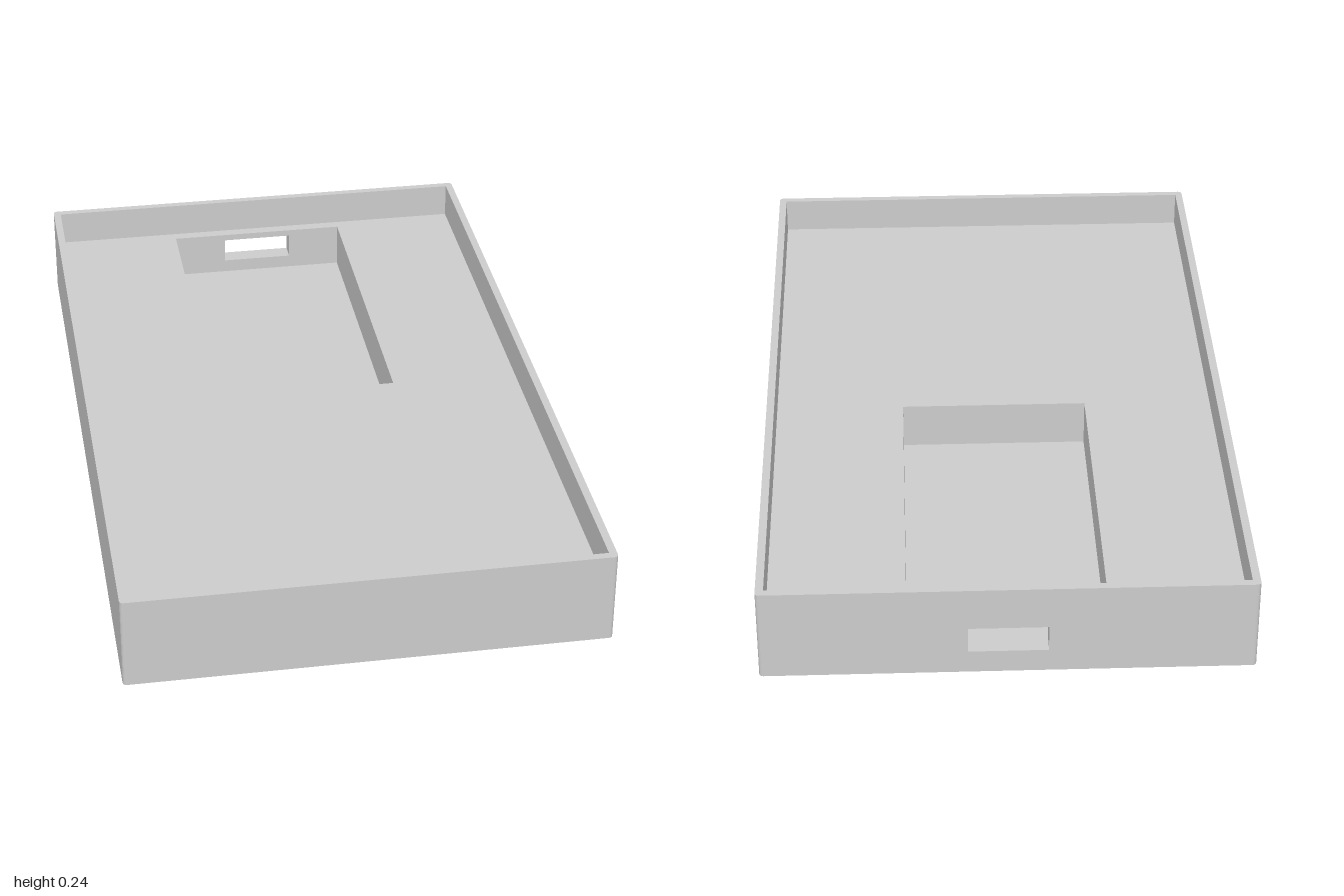
import * as THREE from 'three';
import { mergeGeometries } from 'three/addons/utils/BufferGeometryUtils.js';

const W = 0.606, L = 1, H = 0.243;          // outer half width, half length, height
const RIM = 0.02, FLOOR = 0.148, BASE = 0.024; // rim thickness, tray floor, pocket floor
const SLOT = { x: 0.098, y0: 0.061, y1: 0.13 };

// Plan points are (x, -z), counter-clockwise seen from above
const P = (x, y) => new THREE.Vector2(x, y);
const rect = (x0, x1, y0, y1) => [P(x0, y0), P(x1, y0), P(x1, y1), P(x0, y1)];

function roundedRect(w, l, r, steps = 4) {
  const pts = [];
  [[-1, -1], [1, -1], [1, 1], [-1, 1]].forEach(([sx, sy], i) => {
    for (let k = 0; k <= steps; k++) {
      const a = Math.PI + (i + k / steps) * Math.PI / 2;
      pts.push(P(sx * (w - r) + r * Math.cos(a), sy * (l - r) + r * Math.sin(a)));
    }
  });
  return pts;
}

function sheet(loop, hole) {
  const shape = new THREE.Shape(loop);
  if (hole) shape.holes.push(new THREE.Path(hole));
  return new THREE.ShapeGeometry(shape);
}

// Horizontal faces
const faceUp = (loop, y, hole) => sheet(loop, hole).rotateX(-Math.PI / 2).translate(0, y, 0);
const faceDown = (loop, y) =>
  sheet(loop.map(p => P(p.x, -p.y))).rotateX(Math.PI / 2).translate(0, y, 0);

// Upright face from a to b, facing right of the travel direction, optionally with the slot cut out
function wall(a, b, y0, y1, slot) {
  const d = b.clone().sub(a), n = d.length();
  const hole = slot && rect(n / 2 - SLOT.x, n / 2 + SLOT.x, SLOT.y0 - y0, SLOT.y1 - y0);
  return sheet(rect(0, n, 0, y1 - y0), hole)
    .rotateY(Math.atan2(d.y, d.x)).translate(a.x, y0, -a.y);
}

// Closed run of walls; the long straight one at the back may carry the slot
function walls(loop, y0, y1, inward, slotted) {
  const pts = inward ? [...loop].reverse() : loop;
  const back = Math.max(...pts.map(p => p.y)) - 1e-6;
  return pts.map((a, i) => {
    const b = pts[(i + 1) % pts.length];
    const atBack = a.y > back && b.y > back && a.distanceTo(b) > 2 * SLOT.x;
    return wall(a, b, y0, y1, slotted && atBack);
  });
}

export function createModel() {
  const group = new THREE.Group();
  group.name = 'tray';
  const material = new THREE.MeshStandardMaterial({ color: 0xcccccc });
  const add = (name, parts) => {
    const mesh = new THREE.Mesh(mergeGeometries(parts), material);
    mesh.name = name;
    group.add(mesh);
  };

  const outer = roundedRect(W, L, 0.01);
  const inner = rect(-W + RIM, W - RIM, -L + RIM, L - RIM);
  const pocket = rect(-0.246, 0.246, 0.03, 0.95);
  const tunnel = rect(-SLOT.x, SLOT.x, 0.95, L);

  // Outer shell with the cable slot in its back
  add('outerShell', [faceDown(outer, 0), ...walls(outer, 0, H, false, true)]);

  // Thin raised rim
  add('rim', [faceUp(outer, H, inner), ...walls(inner, FLOOR, H, true)]);

  // Tray floor around the pocket
  add('trayFloor', [faceUp(inner, FLOOR, pocket)]);

  // Sunken pocket
  add('pocket', [faceUp(pocket, BASE), ...walls(pocket, BASE, FLOOR, true, true)]);

  // Slot lining between pocket and back
  const [a, b, c, d] = tunnel;
  add('cableSlot', [
    faceUp(tunnel, SLOT.y0), faceDown(tunnel, SLOT.y1),
    wall(c, b, SLOT.y0, SLOT.y1), wall(a, d, SLOT.y0, SLOT.y1),
  ]);

  return group;
}
